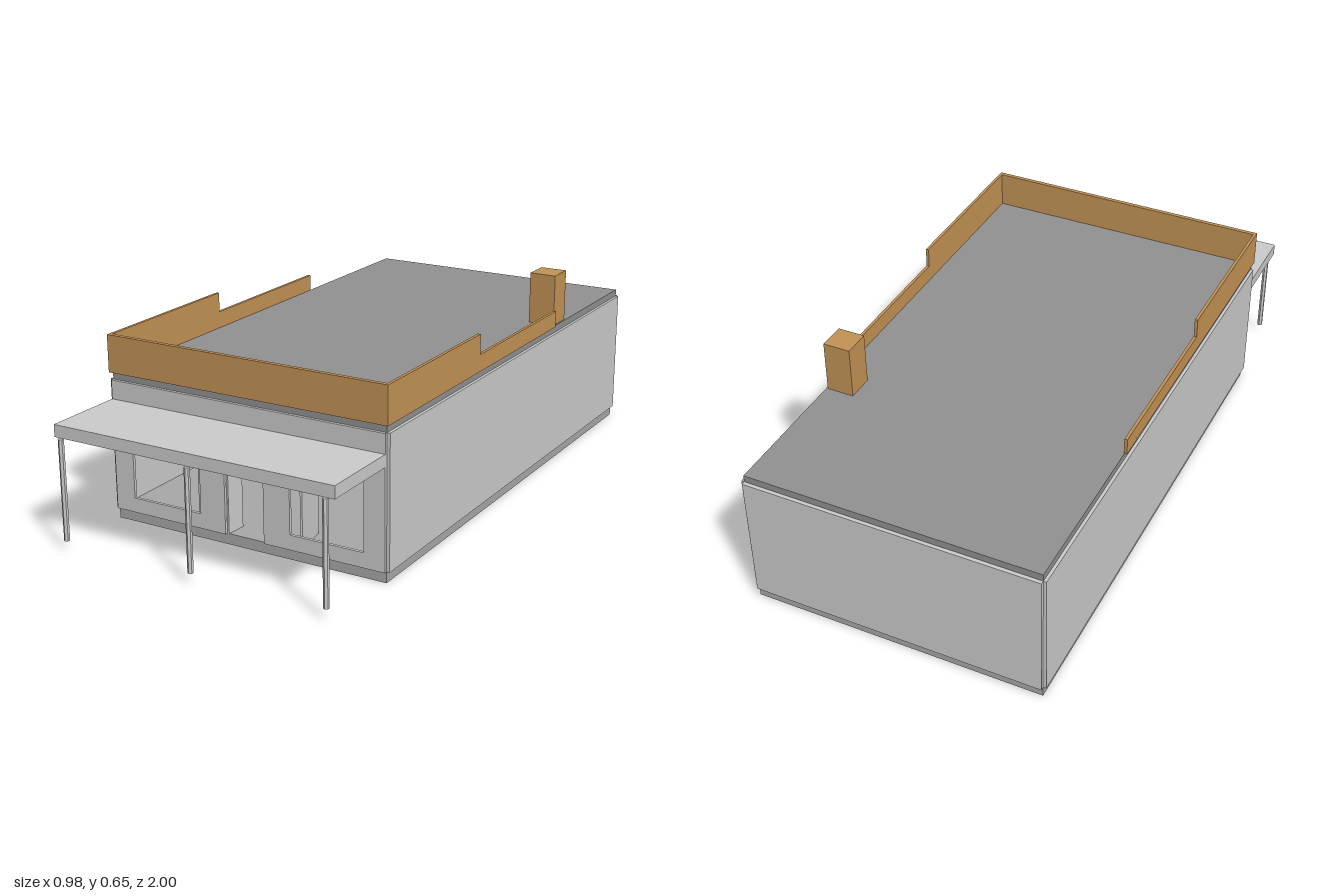
import * as THREE from 'three';

const mat = (color) => new THREE.MeshStandardMaterial({ color });

export function createModel() {
  const model = new THREE.Group();
  const wallMat = mat(0xcccccc), baseMat = mat(0xa8a8a8), roofMat = mat(0x919191), woodMat = mat(0xc39355);

  const add = (name, geometry, material) => {
    const mesh = new THREE.Mesh(geometry, material);
    mesh.name = name;
    model.add(mesh);
    return mesh;
  };
  // box given by its limits on each axis
  const box = (name, material, x0, x1, y0, y1, z0, z1) => {
    const mesh = add(name, new THREE.BoxGeometry(x1 - x0, y1 - y0, z1 - z0), material);
    mesh.position.set((x0 + x1) / 2, (y0 + y1) / 2, (z0 + z1) / 2);
    return mesh;
  };
  const polygon = (points, Type = THREE.Shape) => new Type(points.map(([x, y]) => new THREE.Vector2(x, y)));
  const rect = (x0, x1, y0, y1) => [[x0, y0], [x1, y0], [x1, y1], [x0, y1]];

  // floor and roof slabs
  box('base', baseMat, -0.48, 0.48, 0, 0.035, -0.988, 0.707);
  box('roof', roofMat, -0.48, 0.48, 0.457, 0.48, -0.988, 0.707);

  // wall panels, leaving a small notch at each corner
  box('backWall', wallMat, -0.48, 0.48, 0.035, 0.457, -1, -0.988);
  for (const s of [-1, 1]) {
    const wall = box(s > 0 ? 'leftWall' : 'rightWall', wallMat, 0.48, 0.49, 0.035, 0.457, -0.988, 0.707);
    wall.position.x *= s;
  }

  // front wall with a doorway and two shop windows
  const front = polygon([
    [-0.48, 0.035], [-0.07, 0.035], [-0.07, 0.272], [0.068, 0.272],
    [0.068, 0.035], [0.48, 0.035], [0.48, 0.457], [-0.48, 0.457],
  ]);
  front.holes.push(polygon(rect(-0.41, -0.16, 0.083, 0.34), THREE.Path));
  front.holes.push(polygon(rect(0.16, 0.41, 0.083, 0.34), THREE.Path));
  const frontGeometry = new THREE.ExtrudeGeometry(front, { depth: 0.01, bevelEnabled: false });
  add('frontWall', frontGeometry, wallMat).position.z = 0.707;

  // open door leaves and inner partitions, slightly turned
  for (const s of [-1, 1]) {
    const leaf = box('doorLeaf', wallMat, 0.061, 0.067, 0.035, 0.272, 0.64, 0.707);
    leaf.position.x *= s;
    leaf.rotation.y = s * 0.08;
    const partition = box('partition', wallMat, 0.17, 0.177, 0.035, 0.288, 0.57, 0.69);
    partition.position.x *= s;
    partition.rotation.y = s * 0.15;
  }

  // canopy on three slim posts
  box('canopy', wallMat, -0.48, 0.48, 0.357, 0.396, 0.717, 0.987);
  for (const x of [-0.453, 0, 0.453]) {
    const post = add('canopyPost', new THREE.CylinderGeometry(0.009, 0.009, 0.322, 6).toNonIndexed(), wallMat);
    post.geometry.computeVertexNormals();
    post.position.set(x, 0.196, 0.991);
  }

  // parapet: tall at the front, stepping down along the sides
  box('frontParapet', woodMat, -0.478, 0.478, 0.48, 0.6, 0.703, 0.717);
  const side = polygon([
    [-0.717, 0.48], [0.425, 0.48], [0.425, 0.535], [-0.145, 0.535], [-0.145, 0.6], [-0.717, 0.6],
  ]);
  const sideGeometry = new THREE.ExtrudeGeometry(side, { depth: 0.01, bevelEnabled: false });
  sideGeometry.rotateY(Math.PI / 2);
  add('leftParapet', sideGeometry, woodMat).position.x = 0.478;
  add('rightParapet', sideGeometry, woodMat).position.x = -0.488;

  box('chimney', woodMat, 0.385, 0.475, 0.48, 0.651, -0.527, -0.437);
  return model;
}
